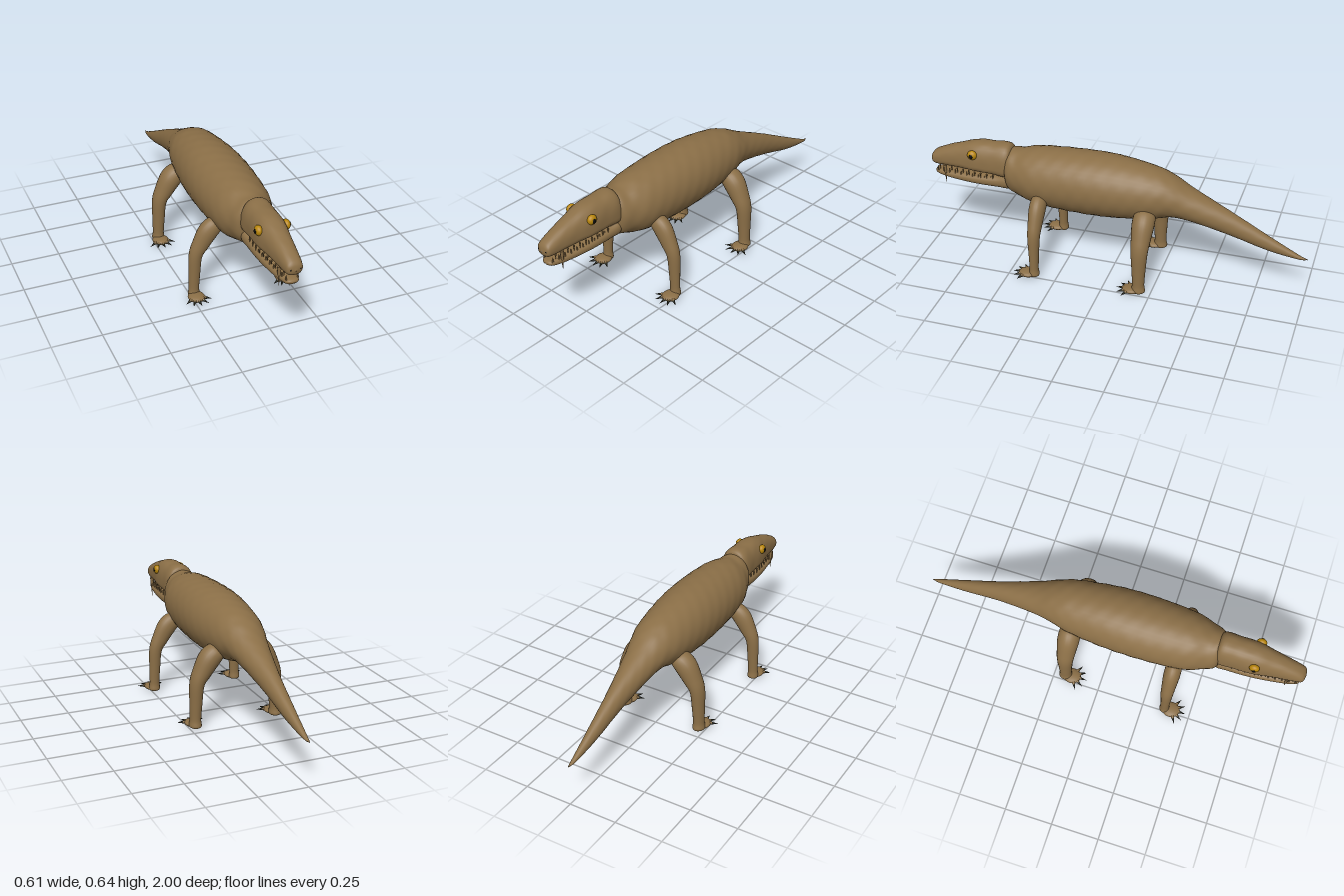
import * as THREE from 'three';

const mat = (name, color) => {
  const m = new THREE.MeshStandardMaterial({ color });
  m.name = name;
  return m;
};
const V = (x, y, z) => new THREE.Vector3(x, y, z);

// Smooth closed skin through sections [x, y, z, sideRadius, upRadius, downRadius].
// Rings span "side" and (tangent x side); "power" below 1 makes them boxier.
function loft(sections, { side, tangent, rings = 48, n = 28, power = 1, bump = 0 }) {
  const path = new THREE.CatmullRomCurve3(sections.map(s => V(s[0], s[1], s[2])), false, 'catmullrom', 0.5);
  const size = new THREE.CatmullRomCurve3(sections.map(s => V(s[3], s[4], s[5] ?? s[4])), false, 'catmullrom', 0.5);
  const pos = [], index = [];
  const round = v => Math.sign(v) * Math.abs(v) ** power;
  for (let i = 0; i <= rings; i++) {
    const t = i / rings, c = path.getPoint(t), r = size.getPoint(t);
    const up = (tangent ?? path.getTangent(t)).clone().cross(side).normalize();
    for (let j = 0; j < n; j++) {
      const a = j / n * Math.PI * 2;
      const rough = 1 + bump * (Math.sin(5 * a + c.z * 31) * Math.sin(c.z * 43 + 2 * a) + 0.6 * Math.sin(9 * a - c.z * 67));
      const v = Math.sin(a) > 0 ? r.y : r.z;
      const p = c.clone()
        .addScaledVector(side, round(Math.cos(a)) * Math.max(r.x, 0) * rough)
        .addScaledVector(up, round(Math.sin(a)) * Math.max(v, 0) * rough);
      pos.push(p.x, p.y, p.z);
    }
  }
  for (let i = 0; i < rings; i++) for (let j = 0; j < n; j++) {
    const a = i * n + j, b = i * n + (j + 1) % n;
    index.push(a, b, a + n, b, b + n, a + n);
  }
  const g = new THREE.BufferGeometry();
  g.setAttribute('position', new THREE.Float32BufferAttribute(pos, 3));
  g.setIndex(index);
  g.computeVertexNormals();
  return g;
}

export function createModel() {
  const skin = mat('brown hide', 0x8b6f47);
  const amber = mat('amber eye', 0xb8860b);
  const dark = mat('dark claw', 0x2a2a1e);
  const black = mat('black', 0x0c0c0a);
  const model = new THREE.Group();
  model.name = 'reptile';

  const add = (name, geometry, material, parent = model) => {
    const m = new THREE.Mesh(geometry, material);
    m.name = name;
    parent.add(m);
    return m;
  };
  const ball = (name, material, at, scale, parent) => {
    const m = add(name, new THREE.SphereGeometry(1, 20, 14), material, parent);
    m.position.copy(at);
    m.scale.copy(scale);
    return m;
  };
  const spike = (name, material, base, dir, radius, length, parent) => {
    const m = add(name, new THREE.ConeGeometry(radius, length, 8).translate(0, length / 2, 0), material, parent);
    m.position.copy(base);
    m.quaternion.setFromUnitVectors(V(0, 1, 0), dir.normalize());
    return m;
  };

  // Body and tail: [z, bottom, top, half width]
  const along = list => list.map(([z, lo, hi, w]) => [0, (lo + hi) / 2, z, w, (hi - lo) / 2]);
  const lengthwise = { side: V(1, 0, 0), tangent: V(0, 0, 1) };
  add('bodyAndTail', loft(along([
    [-1, 0.217, 0.219, 0.001], [-0.95, 0.215, 0.238, 0.012], [-0.8, 0.24, 0.315, 0.029],
    [-0.6, 0.298, 0.42, 0.05], [-0.4, 0.35, 0.517, 0.085], [-0.3, 0.36, 0.572, 0.11],
    [-0.2, 0.335, 0.606, 0.135], [0, 0.31, 0.635, 0.158], [0.2, 0.308, 0.638, 0.161],
    [0.4, 0.322, 0.625, 0.147], [0.5, 0.348, 0.605, 0.117], [0.565, 0.38, 0.592, 0.085],
    [0.58, 0.48, 0.482, 0.001],
  ]), { ...lengthwise, rings: 120, n: 40, bump: 0.008 }), skin);

  // Head: skull with upper jaw, and lower jaw
  const head = new THREE.Group();
  head.name = 'head';
  model.add(head);
  add('skull', loft([
    [0, 0.5, 0.55, 0.001, 0.001, 0.001], [0, 0.5, 0.555, 0.073, 0.115, 0.055],
    [0, 0.5, 0.65, 0.078, 0.122, 0.048], [0, 0.5, 0.74, 0.077, 0.117, 0.045],
    [0, 0.5, 0.82, 0.064, 0.093, 0.044], [0, 0.495, 0.9, 0.053, 0.07, 0.04],
    [0, 0.49, 0.965, 0.044, 0.046, 0.036], [0, 0.488, 0.99, 0.034, 0.028, 0.026],
    [0, 0.487, 1, 0.001, 0.001, 0.001],
  ], { ...lengthwise, rings: 64, n: 36, power: 0.85, bump: 0.006 }), skin, head);
  add('lowerJaw', loft(along([
    [0.55, 0.43, 0.432, 0.001], [0.555, 0.382, 0.475, 0.068], [0.62, 0.38, 0.458, 0.071],
    [0.75, 0.38, 0.444, 0.066], [0.88, 0.385, 0.434, 0.05], [0.95, 0.394, 0.43, 0.037],
    [0.975, 0.404, 0.425, 0.025], [0.983, 0.414, 0.416, 0.001],
  ]), { ...lengthwise, rings: 48, n: 32, power: 0.85 }), skin, head);

  for (const s of [1, -1]) {
    const sideName = s > 0 ? 'left' : 'right';

    // Eye, pupil and nostril
    ball(sideName + 'Eye', amber, V(s * 0.069, 0.565, 0.745), V(0.019, 0.025, 0.026), head);
    ball(sideName + 'Pupil', black, V(s * 0.0865, 0.564, 0.746), V(0.004, 0.012, 0.01), head);
    ball(sideName + 'Nostril', black, V(s * 0.023, 0.491, 0.988), V(0.007, 0.006, 0.008), head);

    // Long fang and rows of small teeth
    spike(sideName + 'Fang', skin, V(s * 0.041, 0.468, 0.914), V(0, -1, 0), 0.011, 0.108, head);
    for (let i = 0; i < 10; i++) {
      const z = 0.64 + i * 0.034;
      const x = s * (0.062 - Math.max(0, z - 0.72) * 0.13);
      if (Math.abs(z - 0.914) > 0.015) spike('upperTooth', skin, V(x, 0.462, z), V(0, -1, 0), 0.005, 0.03, head);
      spike('lowerTooth', skin, V(x * 0.9, 0.422, z + 0.015), V(0, 1, 0), 0.005, 0.03, head);
    }

    // Legs: front pair slim, hind pair thicker from front to back
    for (const [name, dx, z, k] of [['FrontLeg', 0, 0.365, 1], ['HindLeg', -0.015, -0.188, 1.35]]) {
      const leg = new THREE.Group();
      leg.name = sideName + name;
      model.add(leg);
      const path = [
        [0.105, 0.405, 0.001, 0.001], [0.115, 0.397, 0.036, 0.04], [0.155, 0.365, 0.042, 0.051],
        [0.195, 0.3, 0.037, 0.044], [0.224, 0.237, 0.032, 0.034], [0.231, 0.13, 0.026, 0.029],
        [0.234, 0.05, 0.023, 0.026], [0.235, 0.012, 0.026, 0.028], [0.235, 0.006, 0.001, 0.001],
      ].map(([x, y, rz, rx]) => [s * (x + dx), y, z, rz * k, rx * (k > 1 ? 1.1 : 1)]);
      add('limb', loft(path, { side: V(0, 0, 1), n: 24, bump: 0.006 }), skin, leg);

      // Foot with five fanned toes and claws
      const foot = V(s * (0.235 + dx), 0.018, z + 0.035);
      ball('foot', skin, foot, V(0.042, 0.017, 0.047), leg);
      for (let i = -2; i <= 2; i++) {
        const a = i * 0.53;
        const dir = V(Math.sin(a), 0, Math.cos(a));
        const toe = ball('toe', skin, foot.clone().addScaledVector(dir, 0.036), V(0.009, 0.009, 0.018), leg);
        toe.rotation.y = a;
        spike('claw', dark, foot.clone().addScaledVector(dir, 0.042), dir.clone().setY(-0.12), 0.0085, 0.038, leg);
      }
    }
  }
  return model;
}
